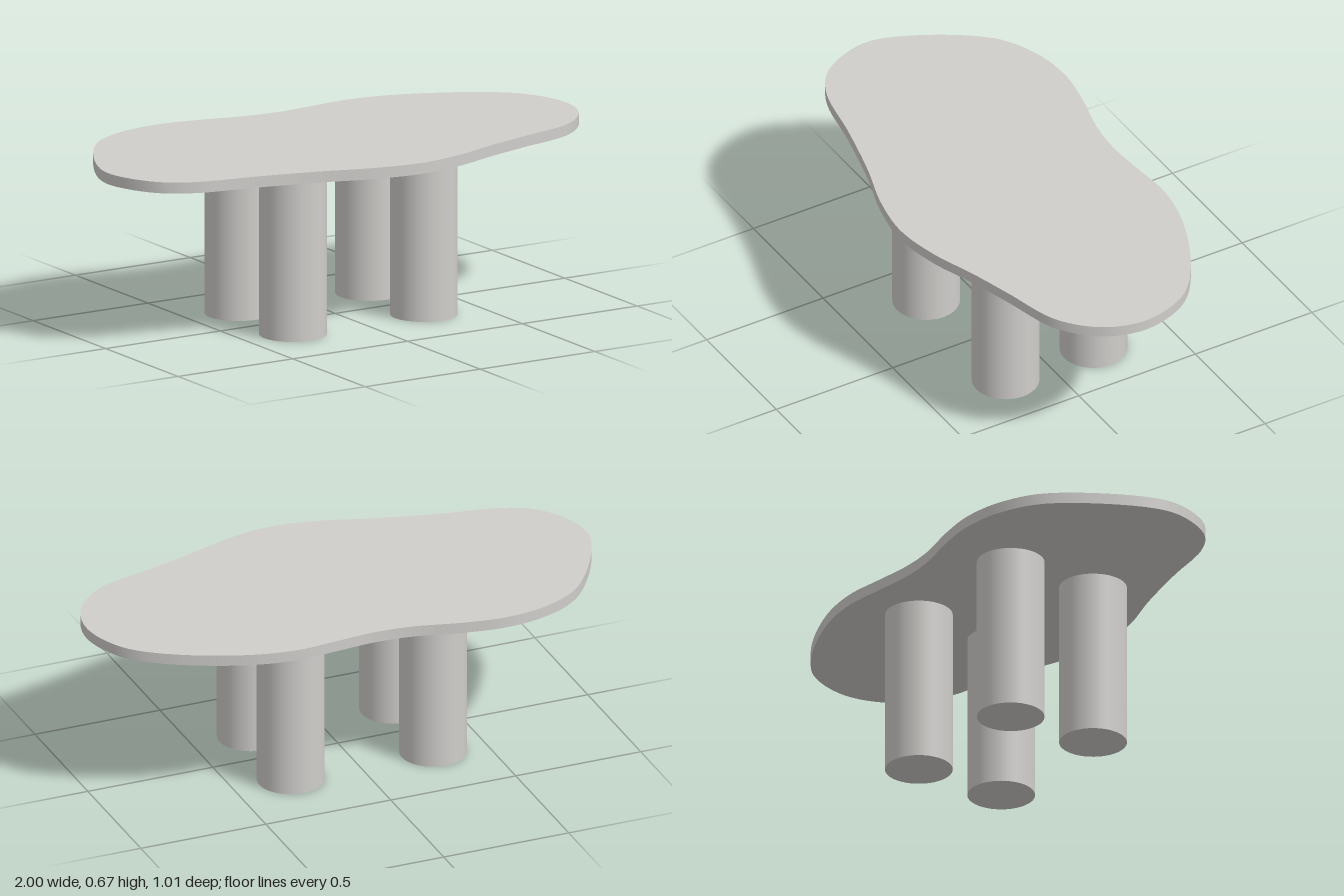
import * as THREE from 'three';
import { toCreasedNormals } from 'three/addons/utils/BufferGeometryUtils.js';

const LEG_HEIGHT = 0.628, TOP_HEIGHT = 0.67, LEG_RADIUS = 0.125;

// Outline of the table top as x, z pairs
const OUTLINE = [
  [-1, 0], [-0.93, -0.19], [-0.77, -0.41], [-0.61, -0.49], [-0.45, -0.51], [-0.3, -0.49],
  [-0.1, -0.443], [0.04, -0.433], [0.19, -0.444], [0.35, -0.455], [0.54, -0.42], [0.81, -0.295],
  [0.94, -0.18], [1, 0], [0.96, 0.16], [0.83, 0.29], [0.59, 0.363], [0.43, 0.41],
  [0.24, 0.475], [0.06, 0.503], [-0.13, 0.475], [-0.32, 0.415], [-0.56, 0.355],
  [-0.8, 0.305], [-0.91, 0.238], [-0.98, 0.12],
];

export function createModel() {
  const table = new THREE.Group();
  table.name = 'table';
  const stone = new THREE.MeshStandardMaterial({ color: 0xd0cecb });
  stone.name = 'warm grey';

  // Free-form slab with a smooth rim and sharp edges
  const curve = new THREE.CatmullRomCurve3(
    OUTLINE.map(([x, z]) => new THREE.Vector3(x, -z, 0)), true, 'centripetal');
  const points = curve.getSpacedPoints(160).slice(0, -1);
  const shape = new THREE.Shape(points.map((p) => new THREE.Vector2(p.x, p.y)));
  const slab = new THREE.ExtrudeGeometry(shape, {
    depth: TOP_HEIGHT - LEG_HEIGHT, bevelEnabled: false,
  });
  slab.rotateX(-Math.PI / 2);
  const top = new THREE.Mesh(toCreasedNormals(slab, Math.PI / 5), stone);
  top.name = 'tableTop';
  top.position.y = LEG_HEIGHT;
  table.add(top);

  // Four thick round legs
  const legGeometry = new THREE.CylinderGeometry(LEG_RADIUS, LEG_RADIUS, LEG_HEIGHT, 48);
  for (const [side, x] of [['Right', -0.297], ['Left', 0.273]]) {
    for (const [end, z] of [['front', 0.179], ['back', -0.198]]) {
      const leg = new THREE.Mesh(legGeometry, stone);
      leg.name = `${end}${side}Leg`;
      leg.position.set(x, LEG_HEIGHT / 2, z);
      table.add(leg);
    }
  }
  return table;
}
